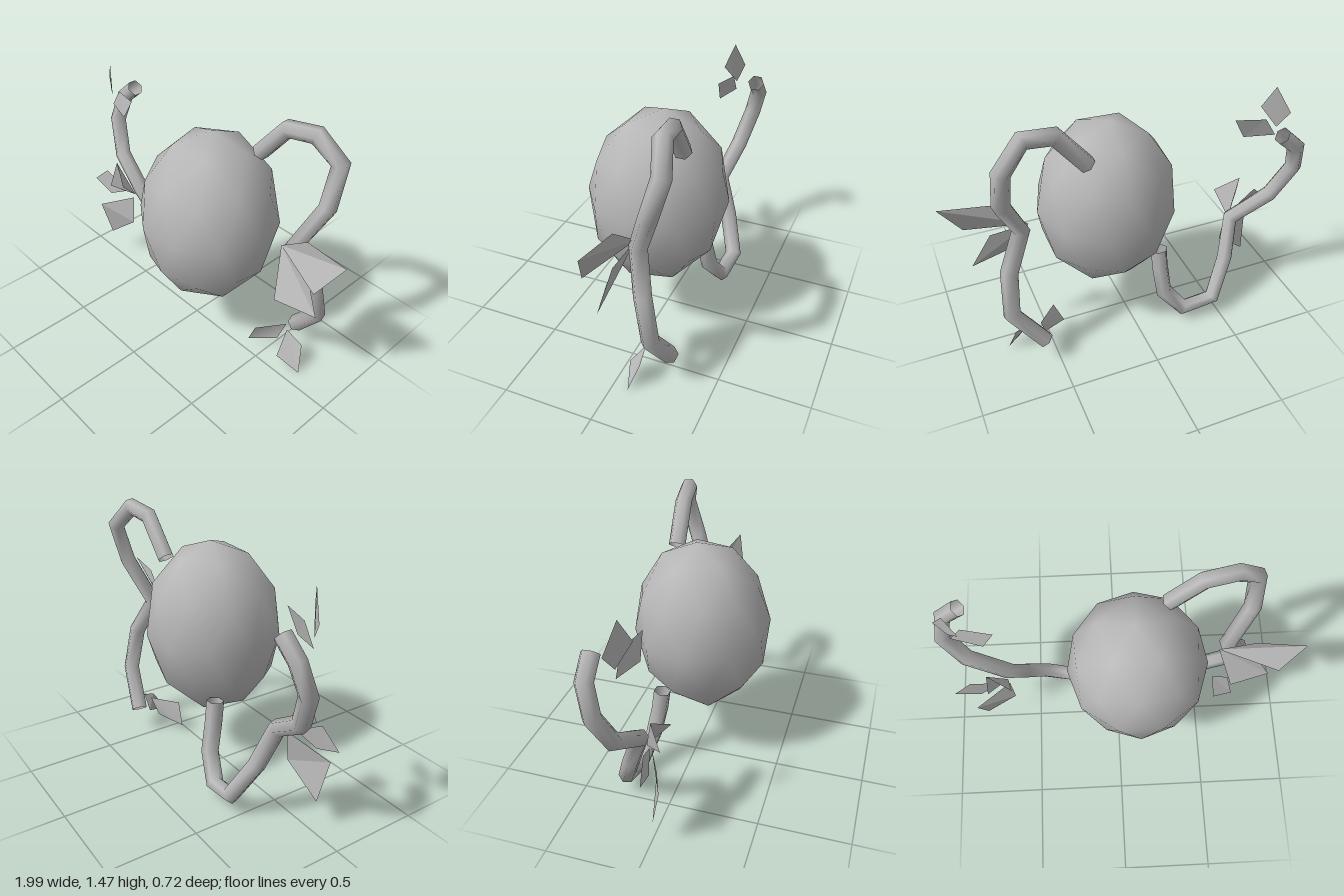
import * as THREE from 'three';

const grey = new THREE.MeshStandardMaterial({ color: 0xb8b8b8, side: THREE.DoubleSide });
grey.name = 'plain grey';

// Curve with straight runs, so the tube has one ring at every listed point
class BentPath extends THREE.Curve {
  constructor(points) {
    super();
    this.points = points.map((p) => new THREE.Vector3(...p));
  }
  getPoint(t, target = new THREE.Vector3()) {
    const last = this.points.length - 1;
    const i = Math.min(Math.floor(t * last + 1e-6), last - 1);
    return target.lerpVectors(this.points[i], this.points[i + 1], t * last - i);
  }
  getPointAt(u, target) { return this.getPoint(u, target); }
  getTangentAt(u, target = new THREE.Vector3()) {
    const last = this.points.length - 1, i = Math.round(u * last);
    const before = this.points[Math.max(i - 1, 0)], after = this.points[Math.min(i + 1, last)];
    return target.subVectors(after, before).normalize();
  }
}

function addMesh(group, name, geometry) {
  const mesh = new THREE.Mesh(geometry, grey);
  mesh.name = name;
  group.add(mesh);
}

function addVine(group, name, points) {
  addMesh(group, name, new THREE.TubeGeometry(new BentPath(points), points.length - 1, 0.048, 6));
}

// Flat four-cornered leaf
function addLeaf(group, name, corners) {
  const geometry = new THREE.BufferGeometry();
  geometry.setAttribute('position', new THREE.Float32BufferAttribute(corners.flat(), 3));
  geometry.setIndex([0, 2, 1, 0, 3, 2]);
  const flat = geometry.toNonIndexed();
  flat.computeVertexNormals();
  // turn the leaf so its front faces +z
  if (flat.attributes.normal.getZ(0) < 0) {
    geometry.setIndex([0, 1, 2, 0, 2, 3]);
    geometry.computeVertexNormals();
    addMesh(group, name, geometry);
  } else addMesh(group, name, flat);
}

export function createModel() {
  const model = new THREE.Group();
  model.name = 'vineCreature';

  // Egg-shaped body with a vertex at the top, leaning a little
  const body = new THREE.IcosahedronGeometry(1, 1);
  body.rotateZ(-Math.atan(2 / (1 + Math.sqrt(5)))).rotateY(Math.PI / 2);
  body.scale(0.385, 0.5, 0.38).rotateX(-0.06).rotateZ(0.04).translate(0.107, 0.817, 0.01);
  addMesh(model, 'body', body);

  // Vines growing from the back of the body
  addVine(model, 'leftVine', [
    [0.27, 1.2, -0.19], [0.43, 1.4, -0.2], [0.59, 1.425, -0.22], [0.71, 1.3, -0.265],
    [0.715, 1.08, -0.2], [0.61, 0.83, -0.1], [0.71, 0.62, -0.165], [0.73, 0.37, -0.21],
    [0.57, 0.15, -0.25],
  ]);
  addVine(model, 'rightVine', [
    [-0.15, 0.5, -0.15], [-0.155, 0.38, -0.165], [-0.17, 0.21, -0.2], [-0.28, 0.075, -0.24],
    [-0.46, 0.115, -0.26], [-0.57, 0.33, -0.18], [-0.63, 0.55, -0.1], [-0.85, 0.69, -0.14],
    [-0.945, 0.89, -0.19], [-0.91, 1.05, -0.23], [-0.81, 1.14, -0.235],
  ]);

  // Leaves on the left vine
  const leftLeaves = [
    [[0.56, 0.83, -0.065], [0.74, 0.975, -0.035], [1, 0.99, 0], [0.88, 0.79, 0.06]],
    [[0.56, 0.83, -0.065], [0.76, 0.79, -0.035], [0.87, 0.585, 0], [0.645, 0.59, 0.06]],
    [[0.57, 0.2, -0.165], [0.455, 0.175, -0.03], [0.4, 0.04, -0.04], [0.54, 0.085, -0.13]],
    [[0.605, 0.205, -0.13], [0.71, 0.155, -0.14], [0.75, 0, -0.085], [0.62, 0.07, -0.04]],
  ];
  leftLeaves.forEach((corners, i) => addLeaf(model, `leftLeaf${i + 1}`, corners));

  // Leaves on the right vine
  const rightLeaves = [
    [[-0.84, 1.35, -0.085], [-0.92, 1.2, -0.13], [-0.86, 1.11, -0.1], [-0.785, 1.22, -0.04]],
    [[-0.79, 1.17, -0.1], [-0.62, 1.18, -0.06], [-0.69, 1.055, -0.05], [-0.86, 1.06, -0.1]],
    [[-0.73, 0.74, 0], [-0.6, 0.65, 0.06], [-0.64, 0.52, -0.06], [-0.745, 0.585, 0.05]],
    [[-0.84, 0.63, 0], [-0.945, 0.53, 0.02], [-0.8, 0.48, 0.01], [-0.68, 0.54, -0.03]],
    [[-0.84, 0.4, 0.07], [-0.63, 0.51, -0.04], [-0.62, 0.33, -0.02], [-0.81, 0.17, 0.02]],
  ];
  rightLeaves.forEach((corners, i) => addLeaf(model, `rightLeaf${i + 1}`, corners));

  return model;
}
